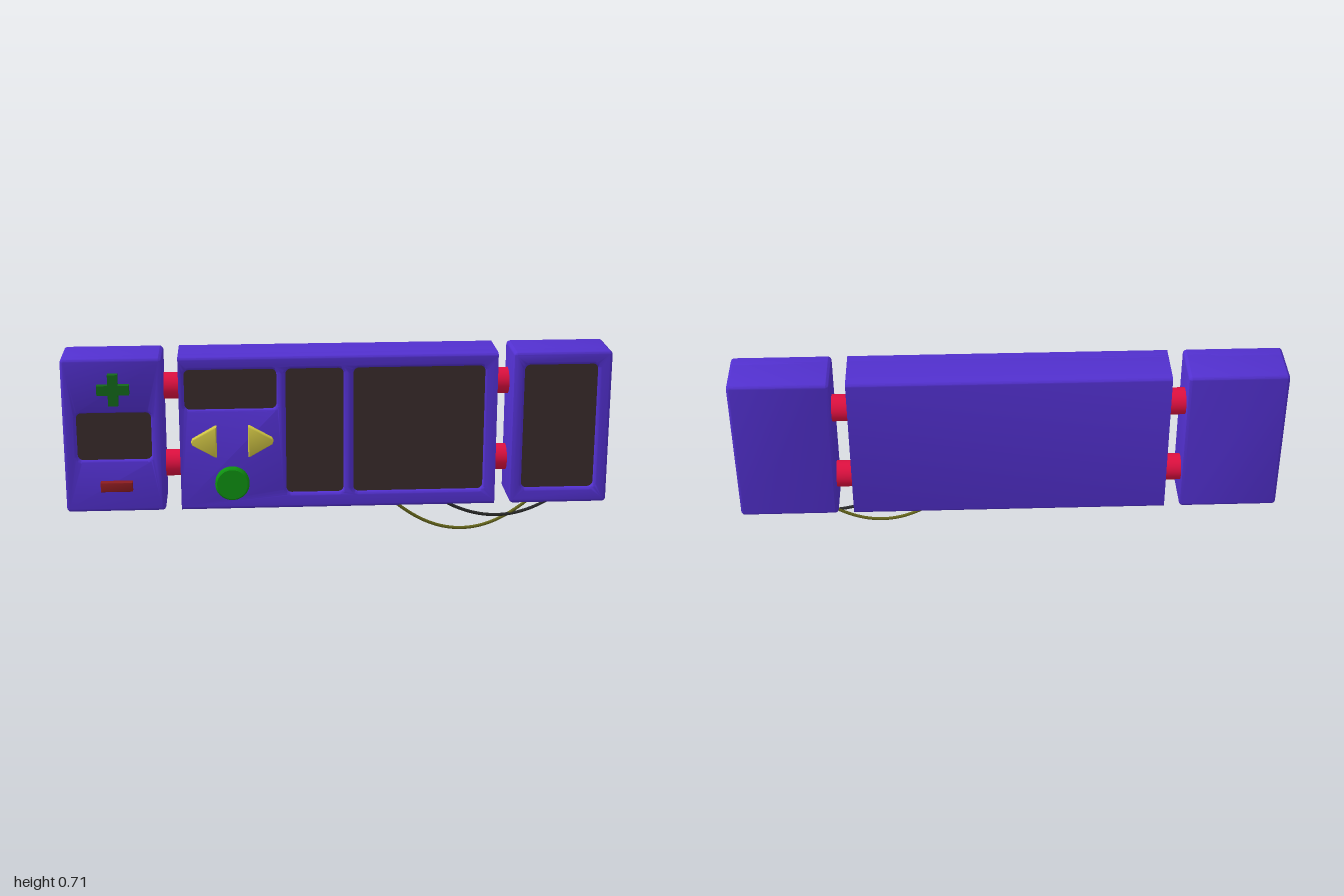
import * as THREE from 'three';
import { toCreasedNormals } from 'three/addons/utils/BufferGeometryUtils.js';

const mat = (color) => new THREE.MeshStandardMaterial({ color });
const purple = mat(0x5230cf), dark = mat(0x3a2b2b), red = mat(0xe01040), yellow = mat(0xd0c444);
const green = mat(0x0f9212), darkGreen = mat(0x14691a), darkRed = mat(0x8c1c20);

const BOTTOM = 0.13, TOP = 0.71, BACK = -0.11, FRONT = 0.085;

// Rectangle outline with optional rounded corners
function rect(x0, x1, y0, y1, r = 0) {
  const s = new THREE.Shape();
  if (!r) {
    return s.moveTo(x0, y0).lineTo(x1, y0).lineTo(x1, y1).lineTo(x0, y1).closePath();
  }
  s.absarc(x1 - r, y0 + r, r, -Math.PI / 2, 0);
  s.absarc(x1 - r, y1 - r, r, 0, Math.PI / 2);
  s.absarc(x0 + r, y1 - r, r, Math.PI / 2, Math.PI);
  s.absarc(x0 + r, y0 + r, r, Math.PI, Math.PI * 1.5);
  return s.closePath();
}

// Slab from z0 to z1 with rounded edges inside the outline; clampX cuts the ends off square
function slab(shape, z0, z1, bevel, clampX = Infinity) {
  const g = new THREE.ExtrudeGeometry(shape, {
    depth: z1 - z0 - 2 * bevel, bevelEnabled: bevel > 0, bevelSize: bevel, bevelThickness: bevel,
    bevelOffset: -bevel, bevelSegments: 4, curveSegments: 6,
  });
  g.translate(0, 0, z0 + bevel);
  const p = g.attributes.position;
  for (let i = 0; i < p.count; i++) p.setX(i, THREE.MathUtils.clamp(p.getX(i), -clampX, clampX));
  return toCreasedNormals(g, 0.6);
}

function add(parent, name, geometry, material) {
  const m = new THREE.Mesh(geometry, material);
  m.name = name;
  parent.add(m);
  return m;
}

// Case: solid back, front layer pierced by screen openings, recessed screens
function makeCase(name, x0, x1, screens, corner, clampX) {
  const g = new THREE.Group();
  g.name = name;
  const outline = () => rect(x0, x1, BOTTOM, TOP, corner);
  const front = outline();
  for (const s of screens) front.holes.push(rect(...s, 0.02));
  add(g, 'caseBack', slab(outline(), BACK, 0.055, 0.012, clampX), purple);
  add(g, 'caseFront', slab(front, 0.02, FRONT, 0.012, clampX), purple);
  for (const [a, b, c, d] of screens) {
    const e = 0.004;
    add(g, 'screen', slab(rect(a - e, b + e, c - e, d + e, 0.02), 0.05, 0.07, 0), dark);
  }
  return g;
}

export function createModel() {
  const model = new THREE.Group();
  model.name = 'console';

  // Three cases
  model.add(
    makeCase('rightPod', -1, -0.637, [[-0.952, -0.682, 0.327, 0.506]], 0.015),
    makeCase('mainCase', -0.62, 0.62, [
      [-0.56, -0.226, 0.512, 0.661],
      [-0.193, 0.018, 0.188, 0.661],
      [0.054, 0.535, 0.188, 0.661],
    ], 0, 0.58),
    makeCase('leftPod', 0.637, 1, [[0.68, 0.95, 0.188, 0.661]], 0.015),
  );

  // Round pegs joining the cases
  for (const x of [-0.609, 0.609]) {
    for (const y of [0.571, 0.273]) {
      const peg = add(model, 'peg', new THREE.CylinderGeometry(0.049, 0.049, 0.1, 32), red);
      peg.rotation.z = Math.PI / 2;
      peg.position.set(x, y, -0.048);
    }
  }

  // Plus and minus buttons
  const L = 0.058, w = 0.018;
  const plus = new THREE.Shape([
    [-w, -L], [w, -L], [w, -w], [L, -w], [L, w], [w, w],
    [w, L], [-w, L], [-w, w], [-L, w], [-L, -w], [-w, -w],
  ].map(([x, y]) => new THREE.Vector2(x, y)));
  add(model, 'plusButton', slab(plus, 0.07, 0.11, 0), darkGreen).position.set(-0.813, 0.598, 0);
  add(model, 'minusButton', slab(rect(-L, L, -w, w), 0.07, 0.11, 0.003), darkRed)
    .position.set(-0.813, 0.232, 0);

  // Arrow buttons, blunt at the tip
  for (const s of [-1, 1]) {
    const arrow = new THREE.Shape([
      [0, -0.058], [0.006, -0.058], [0.088, -0.011], [0.093, 0],
      [0.088, 0.011], [0.006, 0.058], [0, 0.058],
    ].map(([x, y]) => new THREE.Vector2(s * x, y)));
    add(model, 'arrowButton', slab(arrow, 0.07, 0.11, 0.006), yellow)
      .position.set(s < 0 ? -0.446 : -0.332, 0.396, 0);
  }

  // Round button with a softened rim
  const rim = [[0.063, 0], [0.063, 0.03], [0.061, 0.036], [0.056, 0.04], [0, 0.04]];
  const round = toCreasedNormals(
    new THREE.LatheGeometry(rim.map(([x, y]) => new THREE.Vector2(x, y)), 40), 0.6);
  const button = add(model, 'roundButton', round, green);
  button.rotation.x = Math.PI / 2;
  button.position.set(-0.392, 0.234, 0.07);

  // Hanging cables from the main case to the left pod
  const cable = (name, color, a, c, b) => add(model, name, new THREE.TubeGeometry(
    new THREE.QuadraticBezierCurve3(...[a, c, b].map((p) => new THREE.Vector3(...p))),
    40, 0.006, 10), mat(color));
  cable('oliveCable', 0x66661c, [0.2, 0.138, 0.031], [0.475, -0.122, -0.006], [0.745, 0.138, 0.006]);
  cable('blackCable', 0x2b2b2b, [0.388, 0.138, 0.054], [0.63, -0.018, 0.018], [0.872, 0.138, -0.05]);

  return model;
}
